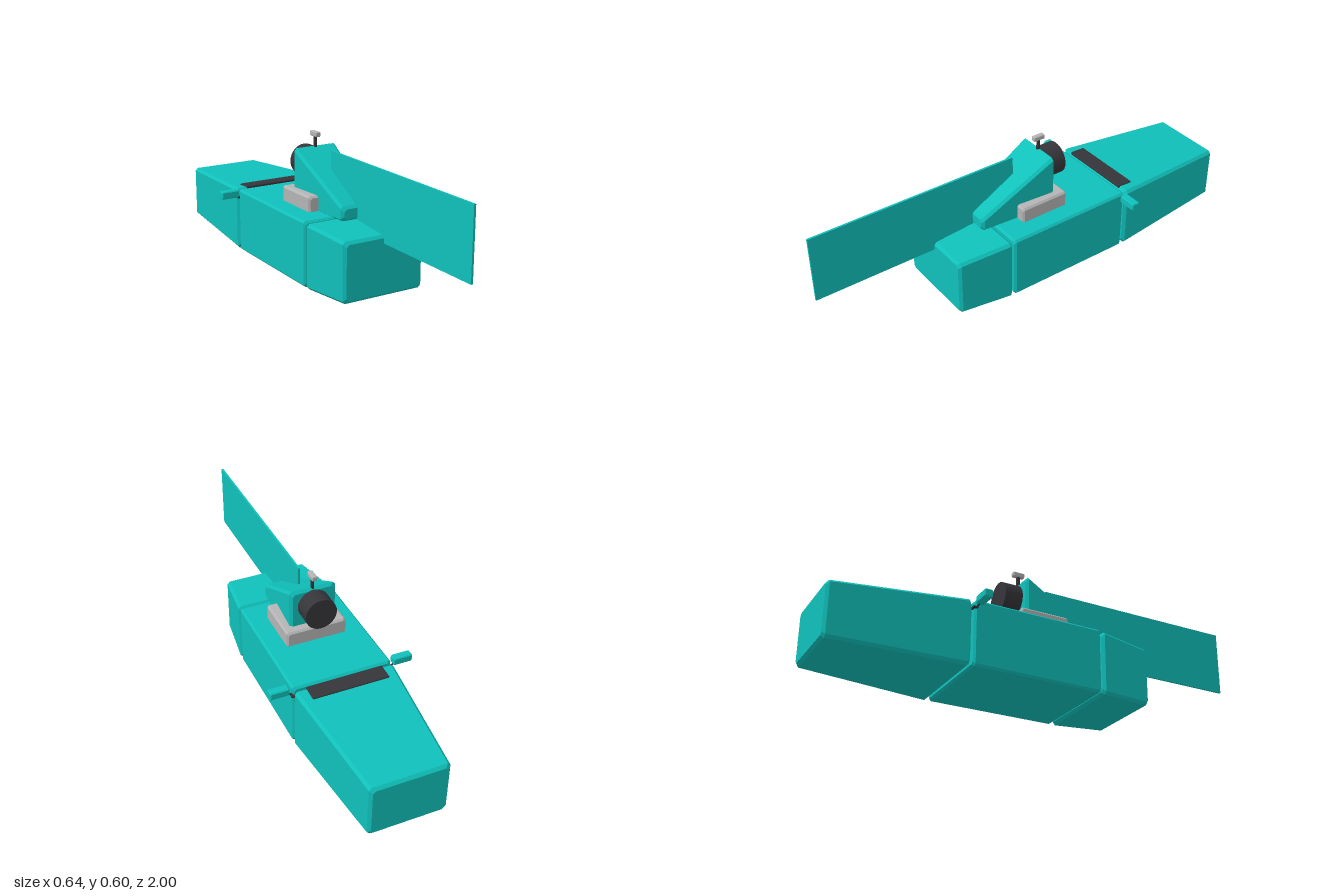
import * as THREE from 'three';

const paint = (color) => new THREE.MeshStandardMaterial({ color, flatShading: true });

// Tapered block with chamfered edges; each end is { z, w: half width, y0, y1 }, front end first.
function chamferedBlock(front, back, c) {
  const ring = (e, z, inset) => {
    const w = e.w - inset, b = e.y0 + inset, t = e.y1 - inset;
    return [[w, b + c], [w, t - c], [w - c, t], [c - w, t], [-w, t - c], [-w, b + c], [c - w, b], [w - c, b]]
      .map(([x, y]) => [x, y, z]);
  };
  const rings = [
    ring(front, front.z, c), ring(front, front.z - c, 0),
    ring(back, back.z + c, 0), ring(back, back.z, c),
  ];
  const index = [];
  for (let r = 0; r < 3; r++) {
    for (let j = 0; j < 8; j++) {
      const a = r * 8 + j, b = r * 8 + (j + 1) % 8;
      index.push(a, a + 8, b, b, a + 8, b + 8);
    }
  }
  for (let j = 1; j < 7; j++) {
    index.push(0, j, j + 1); // front cap
    index.push(24, 24 + j + 1, 24 + j); // back cap
  }
  const g = new THREE.BufferGeometry();
  g.setAttribute('position', new THREE.Float32BufferAttribute(rings.flat(2), 3));
  g.setIndex(index);
  const flat = g.toNonIndexed();
  flat.computeVertexNormals();
  return flat;
}

// Straight chamfered box given by its centre and size
function chamferedBox(sx, sy, sz, c) {
  const end = (z) => ({ z, w: sx / 2, y0: -sy / 2, y1: sy / 2 });
  return chamferedBlock(end(sz / 2), end(-sz / 2), c);
}

export function createModel() {
  const group = new THREE.Group();
  const teal = paint(0x10c0ba), grey = paint(0xb4b4b4), dark = paint(0x35353a);
  const smoothDark = new THREE.MeshStandardMaterial({ color: 0x35353a });

  const add = (name, geometry, material, x = 0, y = 0, z = 0) => {
    const mesh = new THREE.Mesh(geometry, material);
    mesh.name = name;
    mesh.position.set(x, y, z);
    group.add(mesh);
    return mesh;
  };

  // Hull in three sections
  add('noseSection', chamferedBlock(
    { z: 0.45, w: 0.193, y0: 0.005, y1: 0.268 },
    { z: 0.2, w: 0.223, y0: 0, y1: 0.287 }, 0.012), teal);
  add('middleSection', chamferedBlock(
    { z: 0.192, w: 0.223, y0: 0.002, y1: 0.291 },
    { z: -0.403, w: 0.223, y0: 0.002, y1: 0.291 }, 0.009), teal);
  add('tailSection', chamferedBlock(
    { z: -0.413, w: 0.223, y0: 0, y1: 0.289 },
    { z: -1, w: 0.171, y0: 0.012, y1: 0.256 }, 0.012), teal);

  // Turret plinth and wedge
  add('plinth', chamferedBox(0.274, 0.08, 0.23, 0.008), grey, 0, 0.318, -0.03);
  add('wedge', chamferedBlock(
    { z: 0.255, w: 0.08, y0: 0.28, y1: 0.347 },
    { z: -0.105, w: 0.105, y0: 0.28, y1: 0.53 }, 0.012), teal);

  // Thin upright blade along the centre line
  add('blade', new THREE.BoxGeometry(0.009, 0.302, 0.955), teal, 0, 0.385, 0.5225);

  // Drum on the back of the wedge
  add('drum', new THREE.CylinderGeometry(0.071, 0.071, 0.1, 32).rotateX(Math.PI / 2), smoothDark, 0, 0.45, -0.138);

  // Sight on a short post
  add('sightPost', new THREE.CylinderGeometry(0.008, 0.008, 0.09, 12), smoothDark, 0, 0.53, -0.092);
  add('sightHead', chamferedBox(0.023, 0.022, 0.055, 0.003), grey, 0, 0.584, -0.092);

  // Dark strip across the front of the tail deck
  const strip = add('deckStrip', chamferedBox(0.342, 0.014, 0.074, 0.003), dark, 0, 0.286, -0.452);
  strip.rotation.x = -0.05;

  // Side pods on thin arms
  for (const side of [1, -1]) {
    add(side > 0 ? 'leftPod' : 'rightPod', chamferedBox(0.085, 0.034, 0.037, 0.004), teal, side * 0.278, 0.279, -0.388);
    const path = new THREE.LineCurve3(
      new THREE.Vector3(side * 0.2, 0.247, -0.395),
      new THREE.Vector3(side * 0.25, 0.268, -0.392));
    add(side > 0 ? 'leftArm' : 'rightArm', new THREE.TubeGeometry(path, 1, 0.004, 8), smoothDark);
  }
  for (const side of [1, -1]) {
    // Arm roots beside the section joint
    add(side > 0 ? 'leftArmRoot' : 'rightArmRoot', new THREE.BoxGeometry(0.03, 0.007, 0.02), dark, side * 0.215, 0.254, -0.402);
  }
  return group;
}
